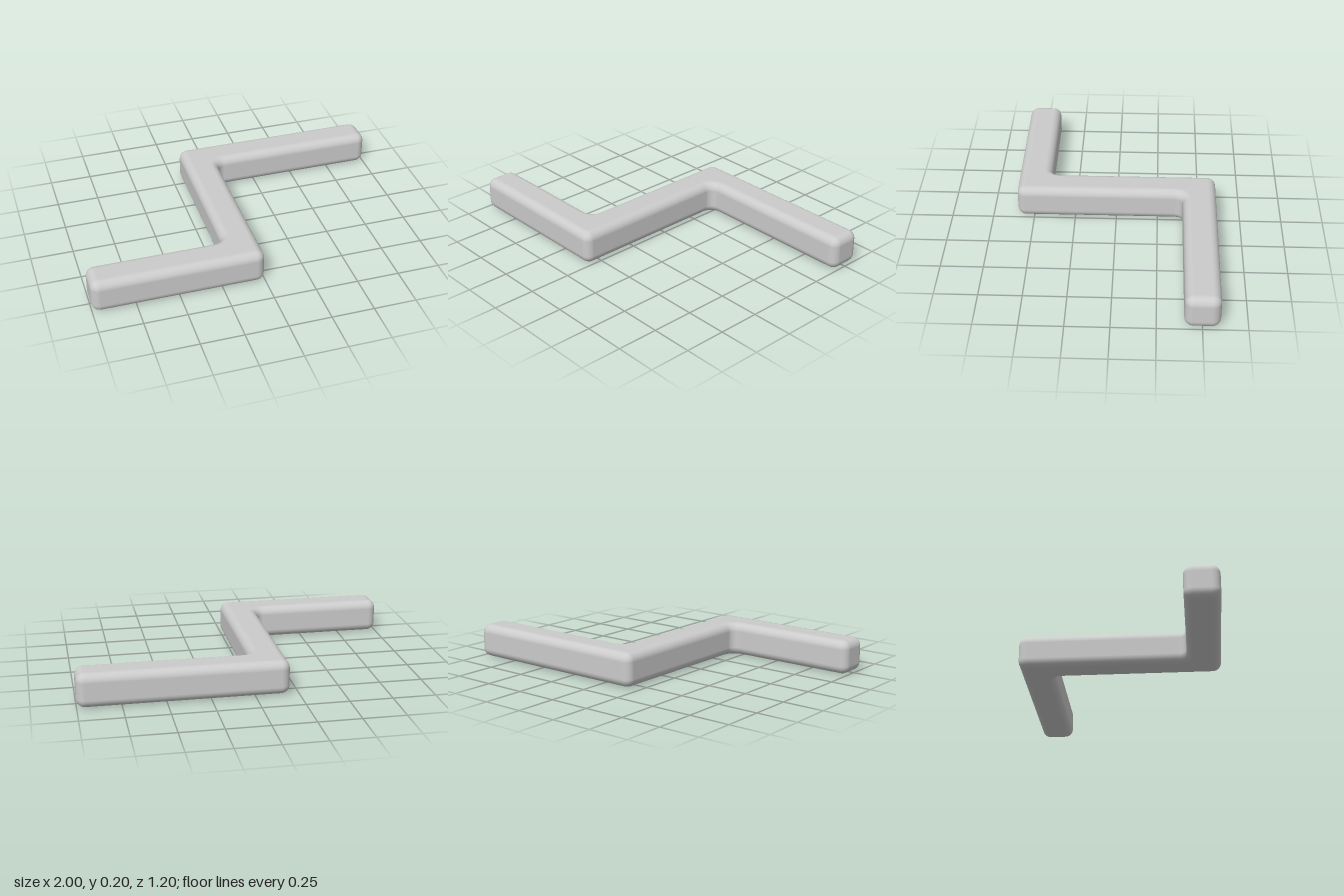
import * as THREE from 'three';

const EDGE = 0.05;    // rounding of all outer edges
const FILLET = 0.05;  // radius of the two inside corners
const HEIGHT = 0.2;
const STEPS = 8;      // segments per quarter turn

// Plan of the bar, counter-clockwise, as (x, -z); point-symmetric ends
const half = [[-1, -0.6], [0, -0.6], [0, 0.4], [1, 0.4]];
const plan = [...half, [1, 0.6], [-0.2, 0.6], [-0.2, -0.4], [-1, -0.4]]
  .map(([x, y]) => new THREE.Vector2(x, y));

// Each corner becomes an arc: a centre, an outward normal and convex or concave
function outlineArcs() {
  const arcs = [];
  plan.forEach((p, i) => {
    const n = plan.length;
    const outward = (a, b) => new THREE.Vector2(b.y - a.y, a.x - b.x).normalize();
    const n1 = outward(plan[(i + n - 1) % n], p);
    const n2 = outward(p, plan[(i + 1) % n]);
    const convex = n1.cross(n2) > 0;
    const centre = n1.clone().add(n2).multiplyScalar(convex ? -EDGE : FILLET).add(p);
    for (let s = 0; s <= STEPS; s++) {
      const t = (s / STEPS) * Math.PI / 2;
      const normal = n1.clone().multiplyScalar(Math.cos(t)).addScaledVector(n2, Math.sin(t));
      arcs.push({ centre, normal, convex, first: s === 0 });
    }
  });
  return arcs;
}

function roundedBar() {
  const arcs = outlineArcs();
  const count = arcs.length;
  const positions = [], normals = [], index = [];

  // Rings from the underside, round the lower edge, up the wall, over the top edge
  const addRing = (angle, y) => {
    const out = EDGE * Math.cos(angle);
    for (const { centre, normal, convex } of arcs) {
      const p = centre.clone().addScaledVector(normal, convex ? out : out - EDGE - FILLET);
      positions.push(p.x, y + EDGE * Math.sin(angle), -p.y);
      normals.push(normal.x * Math.cos(angle), Math.sin(angle), -normal.y * Math.cos(angle));
    }
  };
  for (let k = 0; k <= STEPS; k++) addRing((k / STEPS - 1) * Math.PI / 2, EDGE);
  for (let k = 0; k <= STEPS; k++) addRing((k / STEPS) * Math.PI / 2, HEIGHT - EDGE);
  const rings = 2 * (STEPS + 1);

  for (let r = 0; r < rings - 1; r++) {
    for (let i = 0; i < count; i++) {
      const j = (i + 1) % count;
      const a = r * count + i, b = r * count + j;
      index.push(a, b, b + count, a, b + count, a + count);
    }
  }

  // Flat top and underside; convex arcs shrink to one point there
  const rim = arcs.map((_, i) => i).filter(i => !arcs[i].convex || arcs[i].first);
  const top = (rings - 1) * count;
  const contour = rim.map(i => new THREE.Vector2(
    positions[3 * (top + i)], -positions[3 * (top + i) + 2]));
  for (const face of THREE.ShapeUtils.triangulateShape(contour, [])) {
    const [a, b, c] = face.map(f => rim[f]);
    index.push(top + a, top + b, top + c, a, c, b);
  }

  const geometry = new THREE.BufferGeometry();
  geometry.setAttribute('position', new THREE.Float32BufferAttribute(positions, 3));
  geometry.setAttribute('normal', new THREE.Float32BufferAttribute(normals, 3));
  geometry.setIndex(index);
  return geometry;
}

export function createModel() {
  const group = new THREE.Group();
  const bar = new THREE.Mesh(
    roundedBar(), new THREE.MeshStandardMaterial({ color: 0xcccccc }));
  bar.name = 'zigzagBar';
  group.add(bar);
  return group;
}
